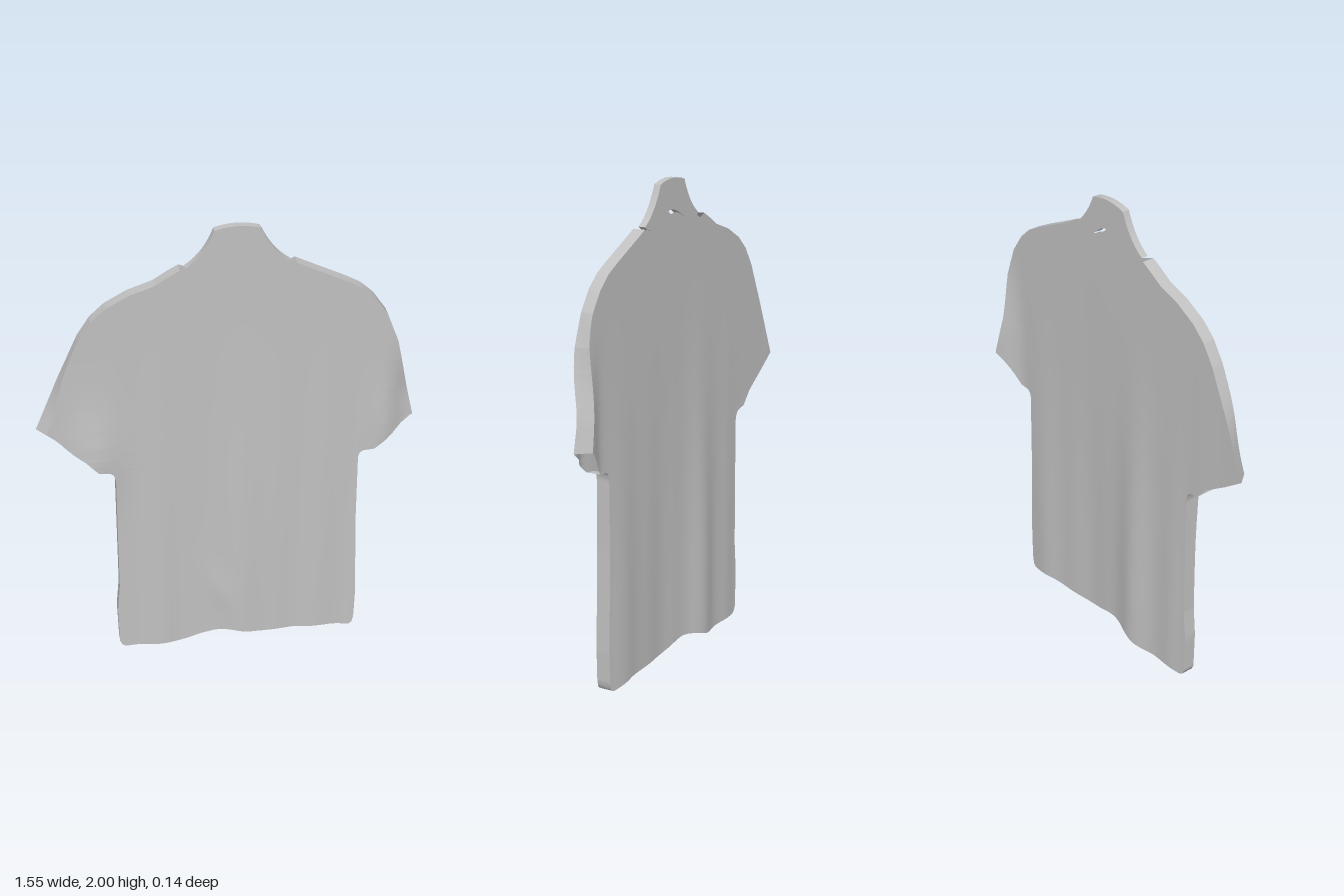
import * as THREE from 'three';

// Outlines as [y, x], hem and neckline as [x, y]
const RIGHT_EDGE = [[0, -0.45], [0.01, -0.467], [0.03, -0.476], [0.2, -0.48], [0.33, -0.468], [0.885, -0.466], [0.915, -0.474],
  [0.93, -0.49], [0.94, -0.535], [0.995, -0.585], [1.06, -0.685], [1.125, -0.775], [1.355, -0.68], [1.55, -0.592],
  [1.63, -0.54], [1.685, -0.48], [1.735, -0.39], [1.77, -0.29], [1.805, -0.235], [1.83, -0.19]];
const LEFT_EDGE = [[0, 0.53], [0.01, 0.545], [0.04, 0.552], [0.17, 0.555], [0.6, 0.542], [0.9, 0.54], [0.92, 0.546], [0.93, 0.56],
  [0.935, 0.605], [0.97, 0.65], [1.06, 0.772], [1.23, 0.732], [1.445, 0.683], [1.57, 0.635], [1.65, 0.58],
  [1.7, 0.525], [1.735, 0.46], [1.8, 0.325], [1.83, 0.265]];
const HEM = [[-0.45, 0], [-0.23, 0.002], [-0.18, 0.01], [-0.125, 0.03], [-0.06, 0.046], [-0.02, 0.05], [0.02, 0.047],
  [0.08, 0.032], [0.14, 0.024], [0.32, 0.02], [0.4, 0.022], [0.53, 0.008]];
const NECK = [[-0.19, 1.83], [-0.15, 1.815], [-0.11, 1.8], [-0.08, 1.806], [-0.045, 1.83], [0, 1.855], [0.03, 1.865],
  [0.06, 1.865], [0.085, 1.852], [0.11, 1.83], [0.15, 1.808], [0.18, 1.8], [0.22, 1.81], [0.265, 1.83]];
const TOP = 1.83, COLS = 64;

function lookup(table, t) {
  if (t <= table[0][0]) return table[0][1];
  for (let i = 1; i < table.length; i++) {
    const [a, va] = table[i - 1], [b, vb] = table[i];
    if (t <= b) return va + (vb - va) * (t - a) / (b - a);
  }
  return table[table.length - 1][1];
}
const smooth = (t) => THREE.MathUtils.smoothstep(t, 0, 1);
const bump = (x, c, w) => Math.exp(-(((x - c) / w) ** 2));

// Row heights: even steps plus every outline corner
const rows = [...new Set([...Array.from({ length: 74 }, (_, i) => +(i * 0.025).toFixed(3)),
  ...RIGHT_EDGE.map((p) => p[0]), ...LEFT_EDGE.map((p) => p[0])])]
  .filter((y) => y <= TOP).sort((a, b) => a - b);

// Cloth depth, with vertical folds that deepen toward the hem
function depth(x, y, front) {
  const fade = smooth((1.65 - y) / 1.5);
  const curl = smooth((x - 0.58) / 0.17) * smooth((1.6 - y) / 0.45);
  if (front) {
    const folds = 0.022 * bump(x, 0.07, 0.12) + 0.01 * bump(x, -0.3, 0.09) + 0.008 * bump(x, 0.38, 0.08)
      - 0.005 * bump(x, -0.13, 0.05) + 0.003 * Math.sin(x * 37);
    const crumple = 0.006 * bump(x + 0.25 * y, 0.02, 0.05) * bump(y, 0.25, 0.15);
    return 0.034 + fade * folds + crumple + 0.034 * bump(x, -0.55, 0.09) * bump(y, 0.97, 0.22)
      + 0.012 * bump(x, 0.65, 0.06) * bump(y, 1.05, 0.2) - 0.05 * curl * curl;
  }
  const folds = 0.028 * bump(x, -0.16, 0.1) + 0.015 * bump(x, 0.45, 0.13) - 0.006 * bump(x, 0.1, 0.1)
    + 0.006 * bump(x, -0.4, 0.06) + 0.002 * Math.sin(x * 31);
  return -0.018 - fade * folds - 0.055 * curl;
}

// Point on a panel; u runs from the wearer's right to left
function clothPoint(u, y, front) {
  let a = lookup(RIGHT_EDGE, y), b = lookup(LEFT_EDGE, y);
  const low = smooth((1.6 - y) / 0.4);
  if (front) a += 0.04 * smooth((-a - 0.6) / 0.17) * low;
  else b -= 0.05 * smooth((b - 0.58) / 0.17) * low;
  const x = a + (b - a) * u;
  const lift = lookup(HEM, x) * smooth((0.45 - y) / 0.45) + (lookup(NECK, x) - TOP) * smooth((y - 1.6) / 0.23);
  return [x, y + lift, depth(x, y, front)];
}

// Surface from rows of points, optionally skipping rows
function gridGeometry(lines, flip, skip = () => false) {
  const n = lines[0].length, index = [];
  for (let j = 0; j < lines.length - 1; j++) {
    if (skip(j)) continue;
    for (let i = 0; i < n - 1; i++) {
      const a = j * n + i, b = a + 1, c = a + n, d = c + 1;
      index.push(...(flip ? [a, c, b, b, c, d] : [a, b, c, b, d, c]));
    }
  }
  const g = new THREE.BufferGeometry();
  g.setAttribute('position', new THREE.Float32BufferAttribute(lines.flat(2), 3));
  g.setIndex(index);
  g.computeVertexNormals();
  return g;
}

export function createModel() {
  const model = new THREE.Group();
  model.name = 'shirtOnNeckCard';
  const grey = new THREE.MeshStandardMaterial({ color: 0xc0c0c0, side: THREE.DoubleSide });
  grey.name = 'light grey';
  const add = (name, geometry) => {
    const mesh = new THREE.Mesh(geometry, grey);
    mesh.name = name;
    model.add(mesh);
  };
  const us = Array.from({ length: COLS + 1 }, (_, i) => i / COLS);

  // Front and back panels, each with a hem turned inward
  for (const front of [true, false]) {
    const name = front ? 'front' : 'back';
    add(name + 'Panel', gridGeometry(rows.map((y) => us.map((u) => clothPoint(u, y, front))), !front));
    const outer = us.map((u) => clothPoint(u, 0, front));
    const inner = outer.map(([x, y, z]) => [x, y, z + (front ? -0.02 : 0.018)]);
    add(name + 'Hem', gridGeometry([inner, outer], !front));
  }

  // Side and shoulder edges, left open at the sleeve cuffs
  for (const [name, u, from, to] of [['right', 0, 0.94, 1.125], ['left', 1, 0.935, 1.06]]) {
    const lines = rows.map((y) => {
      const f = clothPoint(u, y, true), b = clothPoint(u, y, false);
      return [f, b];
    });
    add(name + 'SideSeam', gridGeometry(lines, u === 0, (j) => rows[j] >= from && rows[j + 1] <= to));
  }

  // Flat neck card standing in the collar, its lower edge following the neckline
  const card = new THREE.Shape();
  card.moveTo(-0.168, 1.833);
  for (const [x] of NECK.slice(1, -1)) card.lineTo(x, lookup(NECK, x) + 0.01);
  card.lineTo(0.242, 1.835);
  card.quadraticCurveTo(0.17, 1.88, 0.125, 1.985);
  card.quadraticCurveTo(0.09, 1.998, 0.035, 2);
  card.quadraticCurveTo(-0.02, 1.998, -0.055, 1.985);
  card.quadraticCurveTo(-0.095, 1.88, -0.168, 1.833);
  const cardGeometry = new THREE.ExtrudeGeometry(card, { depth: 0.03, bevelEnabled: false, curveSegments: 10 });
  cardGeometry.translate(0, 0, -0.005);
  add('neckCard', cardGeometry);

  return model;
}
